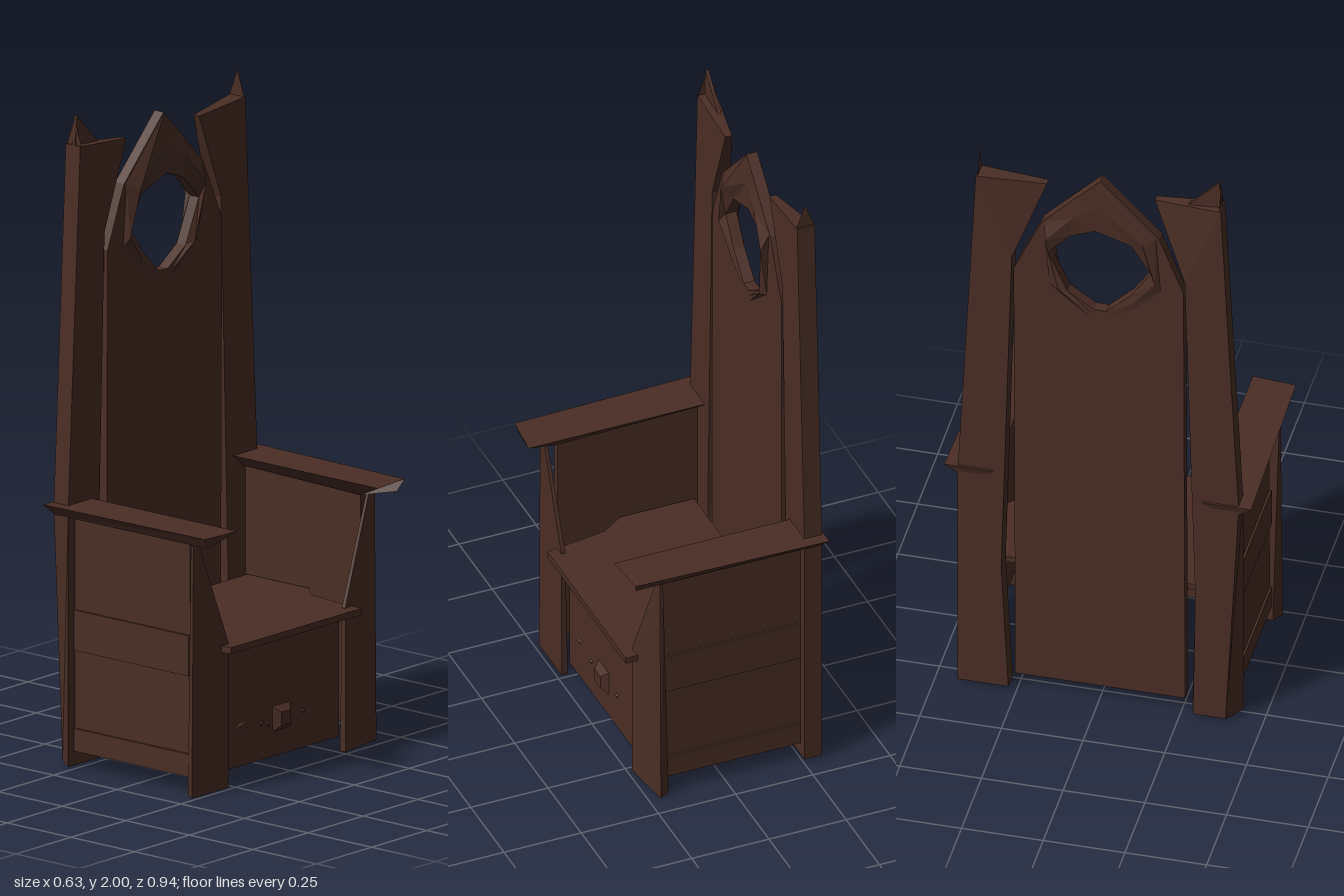
import * as THREE from 'three';

const wood = new THREE.MeshStandardMaterial({ color: 0x4a2e25, flatShading: true, side: THREE.DoubleSide });
wood.name = 'dark brown wood';

export function createModel() {
  const chair = new THREE.Group();
  chair.name = 'highBackChair';

  const add = (name, geo) => {
    const m = new THREE.Mesh(geo, wood);
    m.name = name;
    chair.add(m);
    return m;
  };

  // Board cut from a [z, y] outline, thick along x from x0 to x1
  const board = (name, pts, x0, x1, hole) => {
    const toV = ([z, y]) => new THREE.Vector2(-z, y);
    const shape = new THREE.Shape(pts.map(toV));
    if (hole) shape.holes.push(new THREE.Path(hole.map(toV)));
    const geo = new THREE.ExtrudeGeometry(shape, { depth: x1 - x0, bevelEnabled: false });
    geo.rotateY(Math.PI / 2).translate(x0, 0, 0);
    return add(name, geo);
  };

  // Box given by its limits
  const box = (name, x0, x1, y0, y1, z0, z1) => {
    const geo = new THREE.BoxGeometry(x1 - x0, y1 - y0, z1 - z0);
    geo.translate((x0 + x1) / 2, (y0 + y1) / 2, (z0 + z1) / 2);
    return add(name, geo);
  };

  // Moves every vertex of a mesh by a rule that edits a vector
  const reshape = (mesh, rule) => {
    const p = mesh.geometry.attributes.position, v = new THREE.Vector3();
    for (let i = 0; i < p.count; i++) {
      rule(v.fromBufferAttribute(p, i));
      p.setXYZ(i, v.x, v.y, v.z);
    }
    mesh.geometry.computeVertexNormals();
  };

  // Pointed back panel with a pierced opening
  const hole = [[0.155, 1.62], [0.095, 1.715], [-0.015, 1.75], [-0.09, 1.72], [-0.16, 1.645],
    [-0.1, 1.51], [-0.02, 1.455], [0.02, 1.455], [0.095, 1.53]];
  board('backPanel', [[0.26, 0.045], [0.255, 1.565], [0.18, 1.755], [0, 1.94], [-0.18, 1.755],
    [-0.265, 1.565], [-0.26, 0.045]], -0.285, -0.25, hole);

  // Raised frame around the opening: outer edge, crest and inner edge on each face
  const outer = [[0.185, 1.56], [0.17, 1.755], [0, 1.935], [-0.08, 1.86], [-0.17, 1.755],
    [-0.155, 1.53], [-0.03, 1.425], [0.03, 1.425], [0.11, 1.48]];
  const ridge = (name, base, crest) => {
    const loops = [
      outer.map(([z, y]) => [base, y, z]),
      outer.map(([z, y], i) => {
        const h = Math.max(0, 1 - Math.abs(y - 1.69) / 0.26);
        return [base + (crest - base) * h, (y + hole[i][1]) / 2, (z + hole[i][0]) / 2];
      }),
      hole.map(([z, y]) => [base, y, z]),
    ];
    const n = outer.length, idx = [];
    for (let r = 0; r < 2; r++) for (let i = 0; i < n; i++) {
      const a = r * n + i, b = r * n + (i + 1) % n;
      if (crest > base) idx.push(a, b, a + n, b, b + n, a + n);
      else idx.push(a, a + n, b, b, a + n, b + n);
    }
    const geo = new THREE.BufferGeometry();
    geo.setAttribute('position', new THREE.Float32BufferAttribute(loops.flat(2), 3));
    geo.setIndex(idx);
    geo.computeVertexNormals();
    add(name, geo);
  };
  ridge('openingFrameFront', -0.249, -0.216);
  ridge('openingFrameBack', -0.286, -0.307);

  for (const s of [1, -1]) {
    const side = s > 0 ? 'left' : 'right';
    const mz = (pts) => pts.map(([z, y]) => [z * s, y]);

    // Tall tapering post with a thin wing at the top
    const post = board(side + 'BackPost', mz([[0.43, 0.01], [0.43, 0.8], [0.375, 1.91], [0.165, 1.893],
      [0.265, 1.625], [0.297, 0.45], [0.275, 0.01]]), -0.31, -0.253);
    reshape(post, (v) => {
      if (v.x > -0.3) return;
      if (Math.abs(v.z) < 0.2) v.x = -0.275;
      if (s > 0 && v.y < 0.1) v.z = v.z > 0.4 ? 0.39 : 0.29;
    });

    // Front leg with a sloping shoulder, thinner towards the top; the right one turns back at its outer edge
    const leg = board(side + 'FrontLeg', mz([[0.432, 0], [0.425, 0.775], [0.4, 0.775], [0.265, 0.445], [0.265, 0]]), 0.2, 0.235);
    reshape(leg, (v) => {
      const inner = Math.abs(v.z) < 0.3;
      if (v.x < 0.22) {
        if (v.y > 0.7) v.x = 0.225;
        else if (v.y > 0.4) v.x = 0.222;
        else if (inner) v.x = 0.214;
        else v.z = s * 0.41;
      }
      if (s < 0 && !inner) v.x -= 0.022;
    });

    // Side panel with raised rails on the outside
    const pair = (a, b) => (s > 0 ? [a, b] : [-b, -a]);
    box(side + 'SidePanel', -0.255, 0.2, 0.055, 0.775, ...pair(0.375, 0.4));
    box(side + 'MiddleRail', -0.25, 0.2, 0.365, 0.49, ...pair(0.38, 0.407));
    box(side + 'BottomRail', -0.25, 0.2, 0.055, 0.125, ...pair(0.38, 0.407));

    // Armrest: wide top tapering to a narrow underside
    const arm = box(side + 'Armrest', -0.317, 0.317, 0.77, 0.815, ...pair(0.32, 0.47));
    reshape(arm, (v) => {
      const out = Math.abs(v.z) > 0.4, front = v.x > 0;
      if (v.y < 0.8) {
        if (!front) v.set(-0.305, 0.778, s * (out ? 0.43 : 0.365));
        else if (out) v.set(0.295, 0.78, s * 0.43);
        else v.set(0.21, 0.767, s * 0.365);
      } else if (front && out) v.set(0.305, v.y, s * 0.455);
    });
  }

  // Finials: a broad blade on one post, thin upright points on both
  board('leftFinial', [[0.375, 1.908], [0.365, 2], [0.27, 1.903]], -0.285, -0.275);
  for (const [name, z] of [['rightFinial', -0.37], ['leftFinialCap', 0.37]]) {
    const g = new THREE.BufferGeometry();
    g.setAttribute('position', new THREE.Float32BufferAttribute([-0.31, 1.91, z, -0.253, 1.91, z, -0.28, 1.99, z], 3));
    g.computeVertexNormals();
    add(name, g);
  }

  // Seat with clipped front corners, open underneath
  const seatShape = new THREE.Shape([[-0.24, 0.37], [-0.24, -0.37], [0, -0.37], [0.05, -0.322], [0.19, -0.3],
    [0.27, -0.3], [0.268, 0.292], [0.07, 0.322], [0, 0.37]].map(([x, z]) => new THREE.Vector2(x, -z)));
  const seat = new THREE.ExtrudeGeometry(seatShape, { depth: 0.02, bevelEnabled: false });
  seat.rotateX(-Math.PI / 2).translate(0, 0.422, 0);
  add('seat', seat);
  box('frontBoard', 0.195, 0.212, 0.045, 0.425, -0.262, 0.258);

  // Carved boss and small chips on the front board
  const boss = new THREE.CylinderGeometry(0.03, 0.055, 0.02, 4, 1);
  boss.rotateY(Math.PI / 4).rotateZ(-Math.PI / 2).translate(0.222, 0.16, 0);
  add('boss', boss);
  for (const [z, y, w] of [[0.185, 0.17, 0.06], [0.09, 0.158, 0.02], [-0.1, 0.158, 0.015], [0.06, 0.15, 0.012]]) {
    const chip = new THREE.OctahedronGeometry(1);
    chip.scale(0.006, 0.009, w / 2).rotateX(0.2).translate(0.212, y, z);
    add('chip', chip);
  }
  return chair;
}
